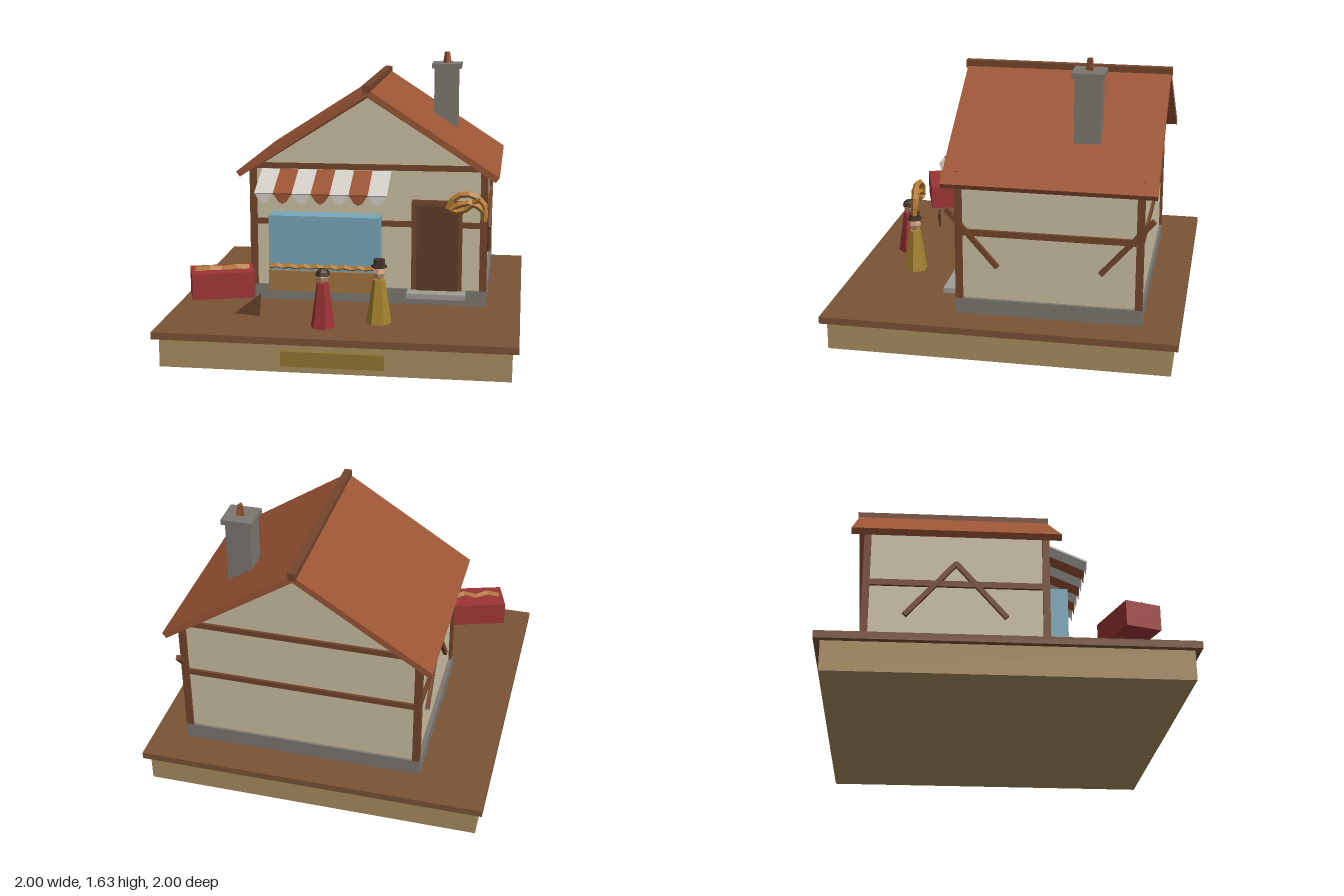
import * as THREE from 'three';

const C = {
  tan: 0xa98e60, earth: 0x7a5335, timber: 0x74452b, door: 0x5e3c25, plaster: 0xcbbfa2, roof: 0x9c5535,
  stone: 0x7c776f, step: 0xa09c95, brass: 0x8f7630, glass: 0x78a6b8, counter: 0xa1743f, white: 0xd3cfc8,
  red: 0x9c3434, yellow: 0xa5842e, bread: 0xb57a33, skin: 0xc79b7a, hair: 0x43342a,
};

export function createModel() {
  const model = new THREE.Group();
  model.name = 'shop';
  const CX = 0.1; // centre line of the house

  const add = (name, geo, color, parent = model, doubleSide = false) => {
    const mat = new THREE.MeshStandardMaterial({ color, flatShading: true });
    if (doubleSide) mat.side = THREE.DoubleSide;
    const m = new THREE.Mesh(geo, mat);
    m.name = name;
    parent.add(m);
    return m;
  };
  // Box given by its limits on each axis
  const box = (name, x0, x1, y0, y1, z0, z1, color, parent) => {
    const m = add(name, new THREE.BoxGeometry(x1 - x0, y1 - y0, z1 - z0), color, parent);
    m.position.set((x0 + x1) / 2, (y0 + y1) / 2, (z0 + z1) / 2);
    return m;
  };
  const shape = (pts) => new THREE.Shape(pts.map(([x, y]) => new THREE.Vector2(x, y)));
  const prism = (name, pts, z0, z1, color, parent) => {
    const geo = new THREE.ExtrudeGeometry(shape(pts), { depth: z1 - z0, bevelEnabled: false });
    geo.translate(0, 0, z0);
    return add(name, geo, color, parent);
  };
  const group = (name, x = 0, y = 0, z = 0) => {
    const g = new THREE.Group();
    g.name = name;
    g.position.set(x, y, z);
    model.add(g);
    return g;
  };

  // Display base with plaque
  box('base', -0.965, 0.965, 0, 0.165, -0.965, 0.965, C.tan);
  box('ground', -1, 1, 0.165, 0.205, -1, 1, C.earth);
  box('plaque', -0.283, 0.28, 0.04, 0.125, 0.96, 0.99, C.brass);

  // Foundation and gabled walls
  box('foundation', -0.605, 0.8, 0.205, 0.295, -0.785, 0.26, C.stone);
  const house = group('house', CX, 0, 0);
  prism('walls', [[-0.68, 0.295], [0.68, 0.295], [0.68, 0.99], [0, 1.43], [-0.68, 0.99]], -0.77, 0.245, C.plaster, house);

  // Roof slabs, verge trims and ridge
  const chevron = (top, eave, w, t, inset) => [[0, top], [w, eave], [w - inset, eave - t], [0, top - t * 1.35],
    [-w + inset, eave - t], [-w, eave]];
  prism('roof', chevron(1.48, 0.985, 0.765, 0.03, 0.022), -0.855, 0.325, C.roof, house);
  for (const z of [-0.785, 0.24])
    prism('vergeTrim', chevron(1.445, 0.998, 0.69, 0.018, 0.0), z, z + 0.02, C.timber, house);
  box('ridge', -0.023, 0.023, 1.455, 1.5, -0.862, 0.335, C.timber, house);

  // Timber frame
  for (const s of [-1, 1]) {
    for (const z of [-0.785, 0.22]) {
      const x = s * 0.678;
      box('cornerPost', x - 0.021, x + 0.021, 0.295, 1.0, z, z + 0.04, C.timber, house);
    }
    box('sideBeam', s * 0.685 - 0.012, s * 0.685 + 0.012, 0.67, 0.705, -0.75, 0.23, C.timber, house);
    // Slanting braces: outward on one side, crossing on the other
    for (const [z, lean] of [[0.165, 1], [-0.695, -1]]) {
      const zc = s > 0 ? z : z - lean * 0.29;
      const b = add('brace', new THREE.BoxGeometry(0.025, 0.435, 0.028), C.timber, house);
      b.position.set(s * 0.69, 0.655, zc);
      b.rotation.x = s * lean * 0.72;
    }
  }
  for (const z of [-0.785, 0.235]) {
    const upper = box('upperBeam', -0.69, 0.69, 1.0, 1.033, z, z + 0.025, C.timber, house);
    const middle = box('middleBeam', -0.68, 0.68, 0.667, 0.7, z, z + 0.025, C.timber, house);
    upper.rotation.z = middle.rotation.z = 0.004;
  }

  // Chimney
  box('chimney', 0.437, 0.583, 1.15, 1.54, -0.513, -0.367, C.stone);
  box('chimneyCap', 0.422, 0.602, 1.535, 1.565, -0.53, -0.35, C.stone);
  add('chimneyPot', new THREE.CylinderGeometry(0.018, 0.03, 0.07, 3), C.roof).position.set(0.51, 1.597, -0.445);

  // Door and step
  box('doorFrame', 0.36, 0.655, 0.295, 0.83, 0.23, 0.268, C.timber);
  box('door', 0.39, 0.632, 0.295, 0.8, 0.24, 0.278, C.door);
  box('doorStep', 0.34, 0.68, 0.265, 0.295, 0.24, 0.36, C.step);

  // Display window and counter
  box('displayWindow', -0.465, 0.183, 0.41, 0.74, 0.24, 0.375, C.glass);
  box('counter', -0.465, 0.183, 0.295, 0.415, 0.24, 0.39, C.counter);

  // Striped awning with pointed valance
  const awning = group('awning', -0.525, 0, 0);
  const w = 0.109;
  for (let i = 0; i < 7; i++) {
    const color = i % 2 ? C.roof : C.white;
    const strip = add('awningStripe', new THREE.BoxGeometry(w, 0.01, 0.255), color, awning);
    strip.position.set((i + 0.5) * w, 0.94, 0.365);
    strip.rotation.x = 0.41;
    const flap = shape([[-0.054, 0], [-0.025, -0.045], [0, -0.06], [0.025, -0.045], [0.054, 0]]);
    const f = add('awningFlap', new THREE.ShapeGeometry(flap), color, awning, true);
    f.position.set((i + 0.5) * w, 0.892, 0.481);
  }

  // Twisted loaves: low-poly arcs lying flat
  const loaf = (parent, x, y, z, length, depth) => {
    const pts = [[-0.5, -0.1], [-0.25, 0.35], [0, -0.2], [0.25, 0.35], [0.5, -0.3]].map(
      ([a, b], i) => new THREE.Vector3(a * length, (i % 2 ? 0.006 : -0.006), b * depth));
    const path = new THREE.CurvePath();
    for (let i = 0; i < 4; i++) path.add(new THREE.LineCurve3(pts[i], pts[i + 1]));
    const m = add('loaf', new THREE.TubeGeometry(path, 4, 0.016, 3), C.bread, parent, true);
    m.position.set(x, y, z);
  };
  for (let i = 0; i < 4; i++) loaf(model, -0.38 + i * 0.16, 0.442, 0.392, 0.155, 0.02);

  // Hanging pretzel sign
  const knot = [[0.6, 0.83], [0.68, 0.87], [0.78, 0.83], [0.785, 0.76], [0.785, 0.86], [0.72, 0.915],
    [0.63, 0.905], [0.585, 0.83], [0.66, 0.82], [0.76, 0.9]];
  const knotCurve = new THREE.CatmullRomCurve3(knot.map(([x, y], i) => new THREE.Vector3(x, y, 0.487 + (i % 2) * 0.008)));
  add('pretzelSign', new THREE.TubeGeometry(knotCurve, 16, 0.018, 4), C.bread, model, true);

  // Market cart with a loaf on top and a stray wheel plate
  const cart = group('cart', -0.67, 0, 0.677);
  cart.rotation.y = 0.31;
  box('cartBox', -0.175, 0.175, 0.345, 0.49, -0.103, 0.103, C.red, cart);
  loaf(cart, 0, 0.5, 0.01, 0.3, 0.04);
  prism('cartSupport', [[0.06, 0.245], [0.2, 0.22], [0.21, 0.35]], 0.05, 0.06, C.door, cart);

  // Visitors
  const visitor = (name, x, z, robe, turn) => {
    const g = group(name, x, 0.205, z);
    g.rotation.y = turn;
    add('robe', new THREE.CylinderGeometry(0.035, 0.071, 0.25, 6), robe, g).position.y = 0.125;
    add('head', new THREE.SphereGeometry(0.04, 6, 4), C.skin, g).position.y = 0.288;
    return g;
  };
  const first = visitor('visitorInRed', -0.083, 0.767, C.red, 0.35);
  add('hair', new THREE.SphereGeometry(0.043, 6, 3, 0, Math.PI * 2, 0, Math.PI / 2), C.hair, first, true).position.y = 0.293;
  const second = visitor('visitorInYellow', 0.215, 0.65, C.yellow, Math.PI / 6);
  add('hatBrim', new THREE.CylinderGeometry(0.045, 0.045, 0.012, 6), C.hair, second).position.y = 0.325;
  add('hatCrown', new THREE.CylinderGeometry(0.032, 0.032, 0.04, 6), C.hair, second).position.y = 0.346;

  return model;
}
